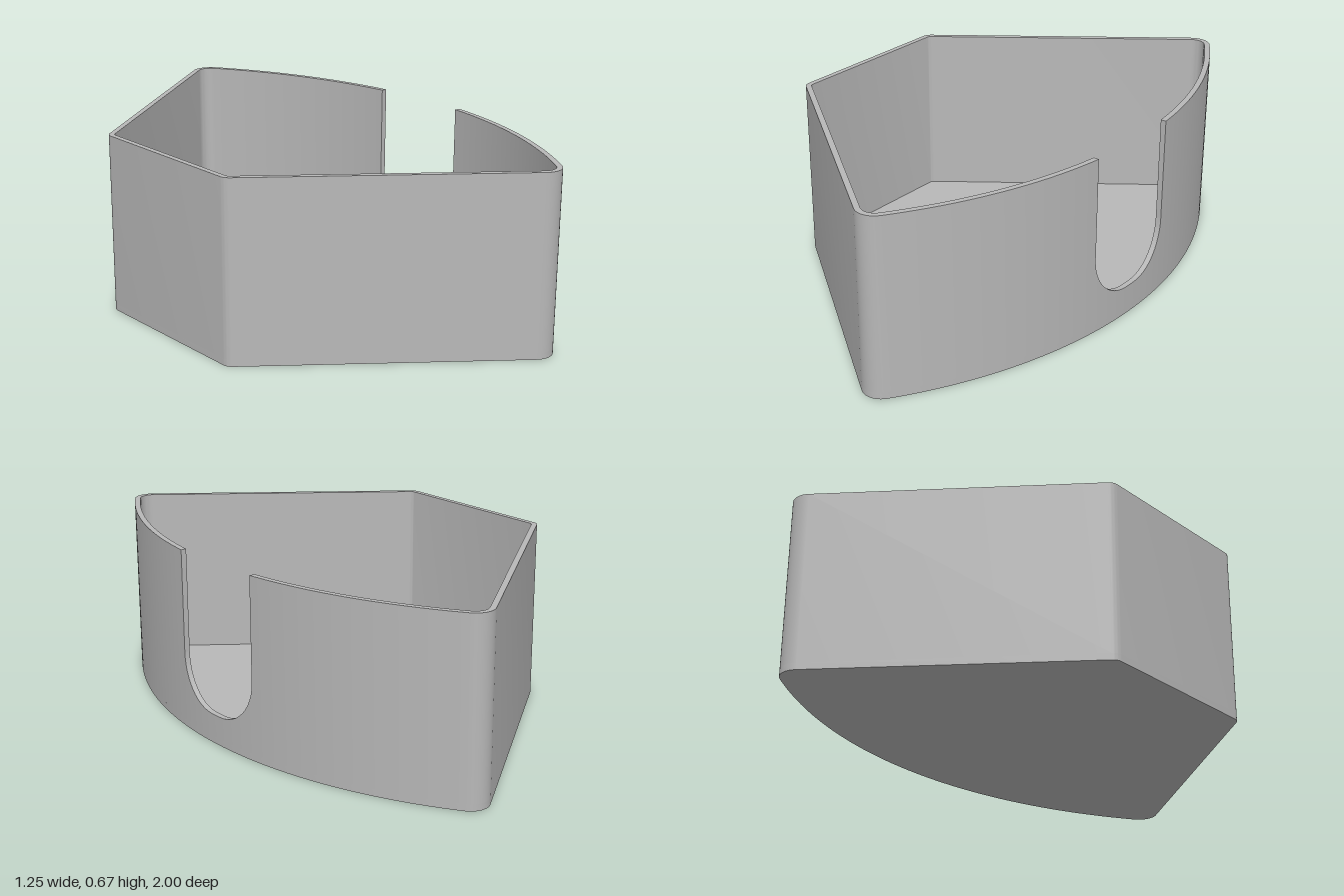
import * as THREE from 'three';
import { toCreasedNormals } from 'three/addons/utils/BufferGeometryUtils.js';

const HEIGHT = 0.675, FLOOR = 0.025, WALL = 0.021;
const APEX = -1.09, RADIUS = 1.716, HALF_ANGLE = THREE.MathUtils.degToRad(36.8);
const BACK_X = -0.628, SMALL_R = 0.04, BIG_R = 0.07;
const SLOT_HALF = 0.205, SLOT_BOTTOM = 0.11, SLOT_R = 0.18;

const arc = (cx, cz, r, from, to, n) => Array.from({ length: n + 1 }, (_, i) => {
  const t = from + (to - from) * i / n;
  return new THREE.Vector2(cx + r * Math.cos(t), cz + r * Math.sin(t));
});

// Truncated sector with rounded corners, inset by d, starting at z = startZ on the curved side
function outline(d, startZ) {
  const sweep = HALF_ANGLE - Math.asin(BIG_R / (RADIUS - BIG_R));
  const side = HALF_ANGLE + Math.PI / 2;
  const bigX = APEX + (RADIUS - BIG_R) * Math.cos(sweep);
  const bigZ = (RADIUS - BIG_R) * Math.sin(sweep);
  const smallX = BACK_X + SMALL_R;
  const smallZ = (Math.sin(HALF_ANGLE) * (smallX - APEX) - SMALL_R) / Math.cos(HALF_ANGLE);
  const half = [
    ...arc(APEX, 0, RADIUS - d, Math.asin(startZ / (RADIUS - d)), sweep, 28),
    ...arc(bigX, bigZ, BIG_R - d, sweep, side, 10).slice(1),
    ...arc(smallX, smallZ, SMALL_R - d, side, Math.PI, 6),
  ];
  const mirrored = half.map(p => new THREE.Vector2(p.x, -p.y)).reverse();
  if (startZ === 0) mirrored.pop();
  return [...half, ...mirrored];
}

function extrudeUp(points, y, height) {
  const g = new THREE.ExtrudeGeometry(new THREE.Shape(points), { depth: height, bevelEnabled: false });
  g.rotateX(-Math.PI / 2).translate(0, y, 0);
  return toCreasedNormals(g, 0.5);
}

// Curved wall left under the slot, lofted from upright cross-sections
function sillGeometry() {
  const centre = SLOT_HALF - SLOT_R;
  const curve = [
    ...arc(-centre, SLOT_BOTTOM + SLOT_R, SLOT_R, Math.PI, Math.PI * 1.5, 12),
    ...arc(centre, SLOT_BOTTOM + SLOT_R, SLOT_R, Math.PI * 1.5, Math.PI * 2, 12),
  ];
  const sections = curve.map(({ x: z, y }) => {
    const outer = APEX + Math.sqrt(RADIUS ** 2 - z * z);
    const inner = APEX + Math.sqrt((RADIUS - WALL) ** 2 - z * z);
    return [[outer, FLOOR, z], [outer, y, z], [inner, y, z], [inner, FLOOR, z]];
  });
  const pos = [];
  for (let i = 0; i < sections.length - 1; i++) {
    const a = sections[i], b = sections[i + 1];
    for (let k = 0; k < 3; k++) {
      pos.push(...a[k], ...a[k + 1], ...b[k + 1], ...a[k], ...b[k + 1], ...b[k]);
    }
  }
  const g = new THREE.BufferGeometry();
  g.setAttribute('position', new THREE.Float32BufferAttribute(pos, 3));
  g.computeVertexNormals();
  return toCreasedNormals(g, 0.5);
}

export function createModel() {
  const group = new THREE.Group();
  group.name = 'sectorTray';
  const grey = new THREE.MeshStandardMaterial({ color: 0xb8b8b8 });
  grey.name = 'grey';
  const add = (name, geometry) => {
    const mesh = new THREE.Mesh(geometry, grey);
    mesh.name = name;
    group.add(mesh);
  };

  // Base plate
  add('floor', extrudeUp(outline(0, 0), 0, FLOOR));

  // Wall ring, open at the slot
  const ring = [...outline(0, SLOT_HALF), ...outline(WALL, SLOT_HALF).reverse()];
  add('wall', extrudeUp(ring, FLOOR, HEIGHT - FLOOR));

  // Rounded bottom of the slot
  add('slotSill', sillGeometry());
  return group;
}
